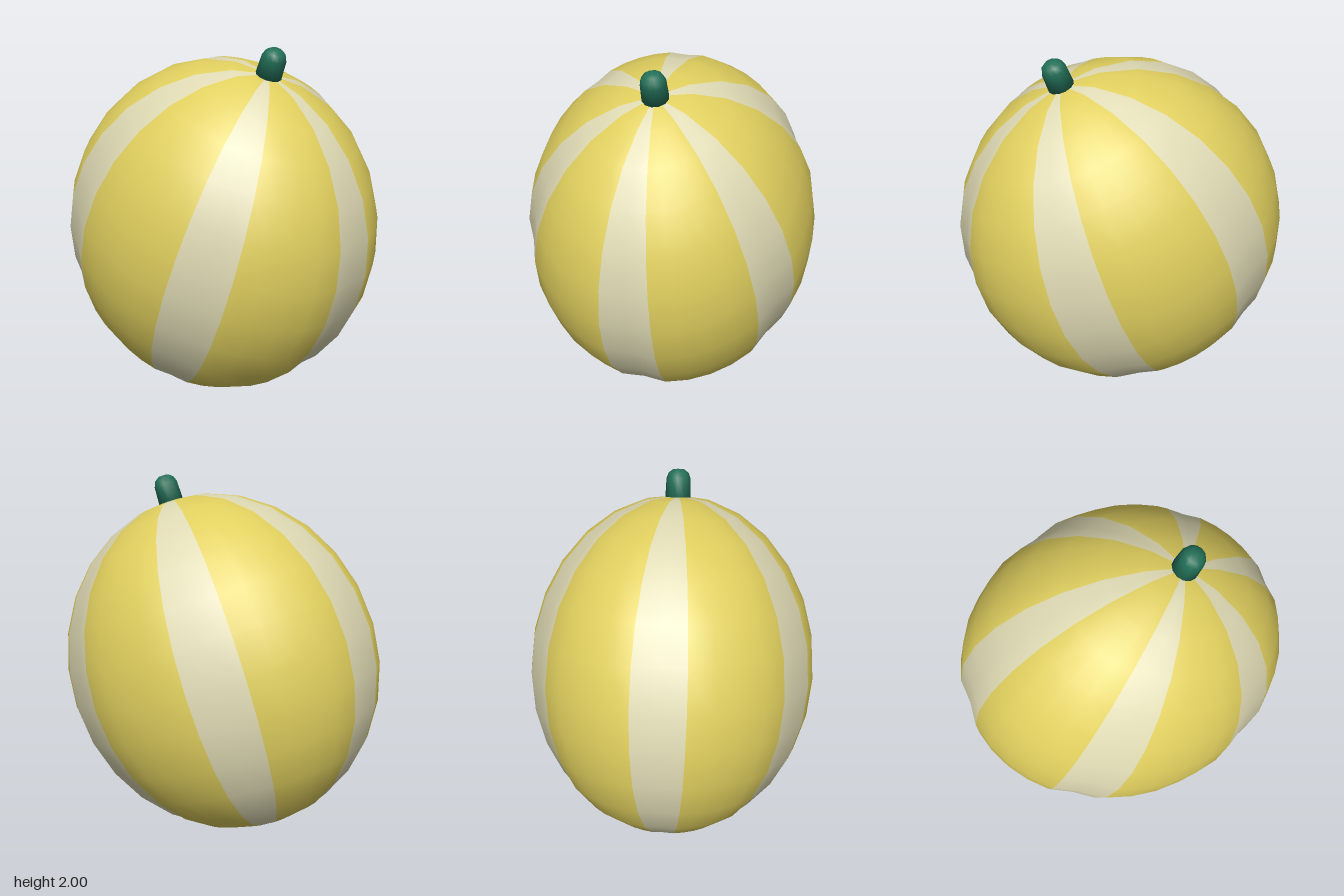
import * as THREE from 'three';

const COLUMNS = 36, RINGS = 14, TILT = 0.358;

// Melon body: an ellipsoid with six shallow grooves, each coloured as a stripe
function melonGeometry() {
  const positions = [];
  const rind = [], stripe = [];
  for (let j = 0; j <= RINGS; j++) {
    const t = (j / RINGS) * Math.PI;
    for (let i = 0; i < COLUMNS; i++) {
      const a = (i / COLUMNS) * Math.PI * 2;
      const r = Math.sin(t) * (i % 6 === 0 ? 0.972 : 1);
      positions.push(0.922 * r * Math.cos(a), 0.968 * Math.cos(t), -0.803 * r * Math.sin(a));
    }
  }
  // All columns share one vertex at each pole
  const at = (i, j) => j * COLUMNS + (j === 0 || j === RINGS ? 0 : i % COLUMNS);
  for (let i = 0; i < COLUMNS; i++) {
    const faces = i % 6 === 0 || i % 6 === 5 ? stripe : rind;
    for (let j = 0; j < RINGS; j++) {
      const a = at(i, j), b = at(i, j + 1), c = at(i + 1, j + 1), d = at(i + 1, j);
      if (j < RINGS - 1) faces.push(a, b, c);
      if (j > 0) faces.push(a, c, d);
    }
  }
  const geometry = new THREE.BufferGeometry();
  geometry.setAttribute('position', new THREE.Float32BufferAttribute(positions, 3));
  geometry.setIndex([...rind, ...stripe]);
  geometry.addGroup(0, rind.length, 0);
  geometry.addGroup(rind.length, stripe.length, 1);
  geometry.computeVertexNormals();
  return geometry;
}

export function createModel() {
  const yellow = new THREE.MeshStandardMaterial({ color: 0xe0cf5e });
  yellow.name = 'yellow rind';
  const cream = new THREE.MeshStandardMaterial({ color: 0xdfdab4 });
  cream.name = 'cream stripe';
  const green = new THREE.MeshStandardMaterial({ color: 0x237058 });
  green.name = 'green stem';

  const melon = new THREE.Group();
  melon.name = 'melon';

  const body = new THREE.Mesh(melonGeometry(), [yellow, cream]);
  body.name = 'stripedBody';
  melon.add(body);

  // Short stem with a rounded tip
  const profile = [[0, 0.955], [0.07, 0.955], [0.066, 1.06], [0.054, 1.09], [0.03, 1.108], [0, 1.11]]
    .map(([x, y]) => new THREE.Vector2(x, y));
  const stem = new THREE.Mesh(new THREE.LatheGeometry(profile, 12), green);
  stem.name = 'stem';
  melon.add(stem);

  // Lean the whole fruit to its left
  melon.rotation.z = -TILT;
  melon.position.y = 0.96;

  const model = new THREE.Group();
  model.name = 'leaningMelon';
  model.add(melon);
  return model;
}
